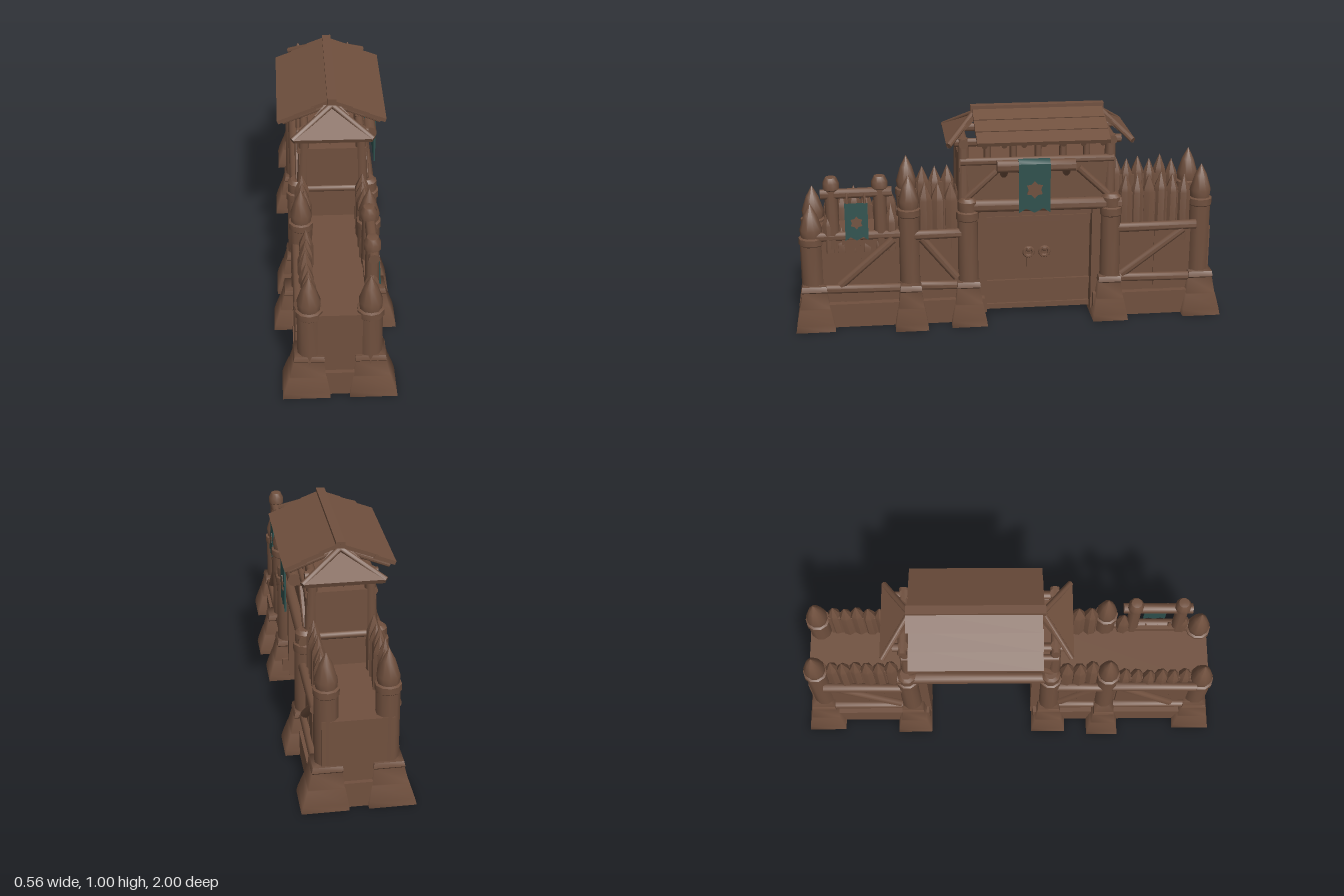
import * as THREE from 'three';
import { toCreasedNormals } from 'three/addons/utils/BufferGeometryUtils.js';
import { ConvexGeometry } from 'three/addons/geometries/ConvexGeometry.js';

const wood = new THREE.MeshStandardMaterial({ color: 0x70503e });
wood.name = 'brown wood';
const cloth = new THREE.MeshStandardMaterial({ color: 0x2e504d });
cloth.name = 'teal cloth';

const V = (x, y, z) => new THREE.Vector3(x, y, z);

export function createModel() {
  const root = new THREE.Group();
  root.name = 'fortifiedGate';

  let seed = 7;
  const jitter = (a) => {
    seed = (seed * 16807) % 2147483647;
    return (seed / 2147483647 - 0.5) * 2 * a;
  };

  const add = (name, geo, mat = wood, crease = 0.75) => {
    const m = new THREE.Mesh(toCreasedNormals(geo, crease), mat);
    m.name = name;
    root.add(m);
    return m;
  };
  // box between two corners
  const box = (name, x0, x1, y0, y1, z0, z1) => {
    const g = new THREE.BoxGeometry(Math.abs(x1 - x0), y1 - y0, Math.abs(z1 - z0));
    g.translate((x0 + x1) / 2, (y0 + y1) / 2, (z0 + z1) / 2);
    return add(name, g);
  };
  // round log between two points
  const log = (name, a, b, r, r2 = r, mat = wood) => {
    const d = b.clone().sub(a);
    const m = add(name, new THREE.CylinderGeometry(r2, r, d.length(), 10), mat);
    m.position.copy(a).add(b).multiplyScalar(0.5);
    m.quaternion.setFromUnitVectors(V(0, 1, 0), d.normalize());
    return m;
  };
  const lathe = (name, pts, sides, x, z, start = 0) => {
    const g = new THREE.LatheGeometry(pts.map((p) => new THREE.Vector2(...p)), sides, start);
    const m = add(name, g);
    m.position.set(x, 0, z);
    return m;
  };
  // flared four-sided footing in stacked courses, leaning in toward the wall
  const footing = (x, z, hw, hd) => {
    const k = Math.SQRT2;
    const m = lathe('footing', [[0, 0], [k, 0], [k * 0.95, 0.03], [k * 0.78, 0.1], [k * 0.75, 0.105],
      [k * 0.63, 0.175], [k * 0.66, 0.18], [k * 0.62, 0.205], [0, 0.205]], 4, x, z, Math.PI / 4);
    m.geometry.applyMatrix4(new THREE.Matrix4().makeShear(0, 0, -Math.sign(x) * 0.07 / hw, 0, 0, 0));
    m.scale.set(hw, 1, hd);
  };
  // round post with collar and a long sharpened head
  const pointedPost = (x, z, top, r) => lathe('pointedPost', [[0, 0.1], [r, 0.1], [r, top - 0.2], [r * 1.1, top - 0.195],
    [r * 1.1, top - 0.165], [r * 0.9, top - 0.16], [r * 0.97, top - 0.125], [r * 0.55, top - 0.055], [0, top]], 10, x, z);
  const stake = (x, z, top, r) => {
    const m = lathe('stake', [[r, 0.36], [r, top - 0.085], [r * 0.85, top - 0.065], [0, top]], 7, x + jitter(0.006), z);
    m.rotation.y = jitter(1);
  };

  // wall cores, one on each side of the gate
  for (const [z0, z1] of [[0.12, 0.955], [-0.955, -0.395]]) {
    box('wallCore', -0.155, 0.155, 0, 0.42, z0, z1);
    box('plinth', -0.197, 0.197, 0, 0.115, z0, z1);
  }
  for (const s of [1, -1]) box('endPlinth', -0.075, 0.075, 0, 0.12, s * 0.9, s * 0.975);

  for (const s of [1, -1]) {
    // corner and intermediate posts
    footing(s * 0.145, 0.91, 0.103, 0.09);
    pointedPost(s * 0.13, 0.915, 0.595, 0.054);
    footing(s * 0.18, 0.465, 0.1, 0.077);
    pointedPost(s * 0.15, 0.465, 0.725, 0.05);
    footing(s * 0.145, -0.91, 0.103, 0.09);
    pointedPost(s * 0.13, -0.905, 0.725, 0.052);

    // gate posts
    for (const [z, fz] of [[0.195, 0.195], [-0.475, -0.47]]) {
      footing(s * 0.165, fz, 0.098, 0.083);
      lathe('gatePost', [[0, 0.1], [0.05, 0.1], [0.048, 0.5], [0.054, 0.505], [0.054, 0.54], [0.045, 0.545],
        [0.045, 0.59], [0.03, 0.605], [0, 0.605]], 10, s * 0.16, z);
    }
    for (const z of [0.135, -0.415]) box('gateJamb', s * 0.03, s * 0.165, 0.03, 0.55, z - 0.028, z + 0.028);

    // side bays: plank skin, rails, diagonal brace, palisade
    const bays = [
      { z0: 0.52, z1: 0.86, top: 0.575, brace: [0.79, 0.2, 0.54, 0.42] },
      { z0: 0.24, z1: 0.42, top: 0.68, brace: [0.41, 0.42, 0.25, 0.22] },
      { z0: -0.85, z1: -0.52, top: 0.685, brace: [-0.53, 0.2, -0.82, 0.42] },
    ];
    bays.forEach((b, i) => {
      const hasStand = i === 0 && s > 0;
      const n = Math.round((b.z1 - b.z0) / 0.085), w = (b.z1 - b.z0) / n;
      for (let k = 0; k < n; k++)
        box('wallPlank', s * 0.14, s * (0.166 + jitter(0.004)), 0.1, 0.43 + jitter(0.01), b.z0 + k * w, b.z0 + (k + 1) * w);
      const rx = s * (hasStand ? 0.15 : 0.172);
      log('upperRail', V(rx, 0.44, b.z0 - 0.03), V(rx, 0.435, b.z1 + 0.03), 0.023);
      log('lowerRail', V(s * 0.173, 0.18, b.z0 - 0.03), V(s * 0.173, 0.185, b.z1 + 0.03), 0.021);
      const [az, ay, bz, by] = b.brace;
      log('diagonalBrace', V(s * 0.17, ay, az), V(s * 0.17, by, bz), 0.02);
      box('palisadeBacking', s * 0.115, s * 0.15, 0.4, hasStand ? 0.45 : b.top - 0.085, b.z0, b.z1);
      const m = Math.round((b.z1 - b.z0) / 0.056), p = (b.z1 - b.z0) / m;
      for (let k = 0; k < m; k++) {
        const z = b.z0 + (k + 0.5) * p;
        const low = hasStand && z > 0.6 && z < 0.82;
        stake(s * 0.135, z, (low ? 0.47 : b.top) + jitter(0.012), p * 0.58);
      }
    });

    // gate header and lintel
    log('lintel', V(s * 0.165, 0.565, 0.22), V(s * 0.165, 0.56, -0.52), 0.03);
    box('gateHeader', s * 0.03, s * 0.14, 0.5, 0.56, -0.42, 0.15);

    // tower sides: timbers, braces and open gallery posts
    log('towerRail', V(s * 0.143, 0.772, 0.225), V(s * 0.143, 0.772, -0.485), 0.018);
    log('towerBrace', V(s * 0.152, 0.6, 0.2), V(s * 0.152, 0.73, 0.06), 0.017);
    log('towerBrace', V(s * 0.152, 0.6, -0.46), V(s * 0.152, 0.73, -0.32), 0.017);
    for (const z of [0.21, -0.47]) log('towerCornerPost', V(s * 0.14, 0.45, z), V(s * 0.125, 0.88, z), 0.03, 0.024);
    for (const z of [0.1, -0.02, -0.135, -0.25, -0.36])
      log('galleryPost', V(s * 0.13, 0.6, z), V(s * 0.125, 0.88, z), 0.017);
    log('wallPlate', V(s * 0.125, 0.86, 0.25), V(s * 0.125, 0.86, -0.52), 0.02);

    // roof slope: three overlapping boards on rafters
    const tilt = Math.atan2(0.1, 0.23);
    for (let k = 0; k < 3; k++) {
      const b = add('roofBoard', new THREE.BoxGeometry(0.1, 0.018, 0.605 + jitter(0.008)));
      b.position.set(s * (0.045 + k * 0.076), 0.966 - k * 0.034, -0.148 + jitter(0.005));
      b.rotation.z = -s * (tilt - 0.04);
    }
    for (let k = 0; k < 7; k++) {
      const z = 0.12 - k * 0.09;
      log('rafter', V(0, 0.955, z), V(s * 0.222, 0.865, z), 0.013);
    }
  }

  // door on the +x side of the passage, with straps and rings
  for (let k = 0; k < 5; k++)
    box('doorPlank', 0.04 + jitter(0.003), 0.107 + jitter(0.002), 0.03, 0.53, -0.4 + k * 0.104, -0.296 + k * 0.104);
  box('doorBottomStrap', 0.1, 0.12, 0.14, 0.17, -0.39, 0.11);
  box('doorTopStrap', 0.1, 0.118, 0.46, 0.49, -0.39, 0.11);
  box('doorSill', 0.04, 0.118, 0.025, 0.05, -0.4, 0.13);
  for (const z of [-0.095, -0.17]) {
    const ring = add('doorRing', new THREE.TorusGeometry(0.022, 0.008, 6, 12));
    ring.position.set(0.118, 0.31, z);
    ring.rotation.y = Math.PI / 2;
    const boss = add('doorBoss', new THREE.SphereGeometry(0.014, 8, 6));
    boss.position.set(0.118, 0.325, z);
  }

  // tower body and gallery ends
  box('towerBody', -0.15, 0.15, 0.54, 0.785, -0.49, 0.23);
  box('towerFrontBase', -0.15, 0.15, 0.4, 0.55, 0.12, 0.23);
  box('towerBackBase', -0.15, 0.15, 0.4, 0.55, -0.49, -0.395);
  for (const [s, apex, foot, post] of [[1, 0.15, 0.29, 0.21], [-1, -0.44, -0.575, -0.475]]) {
    log('towerEndBeam', V(-0.15, 0.57, post + s * 0.012), V(0.15, 0.57, post + s * 0.012), 0.018);
    log('towerEndPlate', V(-0.16, 0.86, post), V(0.16, 0.86, post), 0.022);
    // hanging spikes below the plate
    for (const [x, h] of [[-0.055, 0.055], [-0.01, 0.06], [0.03, 0.055], [0.07, 0.05]]) {
      const c = add('hangingSpike', new THREE.ConeGeometry(0.018, h, 6));
      c.rotation.x = Math.PI;
      c.position.set(x, 0.852 - h / 2, post);
    }
    // sloping end roof with hip logs
    const tri = [V(-0.175, 0.868, foot), V(0.175, 0.868, foot), V(0.035, 0.965, apex), V(-0.035, 0.965, apex)];
    add('endRoof', new ConvexGeometry([...tri, ...tri.map((p) => p.clone().add(V(0, -0.02, -s * 0.008)))]), wood, 0.3);
    for (const x of [-1, 1]) log('hipLog', V(0, 0.965, apex), V(x * 0.18, 0.862, foot - s * 0.01), 0.014);
  }
  const ridge = add('ridgeBeam', new THREE.BoxGeometry(0.04, 0.03, 0.62));
  ridge.position.set(0, 0.986, -0.145);

  // swallow-tailed banner with an emblem; lean swings its foot outward
  const banner = (x, yTop, zc, w, h, lean) => {
    const group = new THREE.Group();
    group.name = 'hangingBanner';
    group.position.set(x, yTop, zc);
    group.rotation.z = lean;
    root.add(group);
    const plate = (name, pts, depth, dx, mat) => {
      const sh = new THREE.Shape(pts.map(([a, b]) => new THREE.Vector2(a, b)));
      const m = add(name, new THREE.ExtrudeGeometry(sh, { depth, bevelEnabled: false }), mat);
      m.rotation.y = Math.PI / 2;
      m.position.x = dx;
      group.add(m);
    };
    const a = w / 2;
    plate('banner', [[-a, 0], [-a, -h], [-a * 0.55, -h * 0.91], [0, -h], [a * 0.55, -h * 0.91], [a, -h], [a, 0]], 0.008, 0, cloth);
    const leaf = [];
    for (let i = 0; i < 12; i++) {
      const r = w * (i % 2 ? 0.2 : 0.29), t = (i / 12) * Math.PI * 2 + Math.PI / 2;
      leaf.push([Math.cos(t) * r, Math.sin(t) * r - h * 0.52]);
    }
    plate('bannerEmblem', leaf, 0.004, 0.007, wood);
  };

  // gate banner wrapped over its pole
  log('bannerPole', V(0.182, 0.757, 0.06), V(0.182, 0.757, -0.3), 0.03);
  for (const z of [0.025, -0.265]) log('poleBracket', V(0.13, 0.7, z), V(0.19, 0.76, z), 0.02);
  log('bannerWrap', V(0.182, 0.757, -0.0375), V(0.182, 0.757, -0.1825), 0.034, 0.034, cloth);
  banner(0.207, 0.772, -0.11, 0.145, 0.232, 0);

  // banner stand above the front wall
  for (const z of [0.595, 0.815]) {
    lathe('standPost', [[0.031, 0.38], [0.03, 0.66], [0.037, 0.665], [0.037, 0.695], [0.025, 0.72], [0, 0.725]], 10, 0.14, z);
  }
  log('standCrossbar', V(0.145, 0.645, 0.54), V(0.145, 0.64, 0.865), 0.024);
  for (const z of [0.665, 0.745]) log('bannerTie', V(0.163, 0.65, z), V(0.17, 0.585, z), 0.006);
  banner(0.167, 0.6, 0.705, 0.105, 0.175, 0.06);

  return root;
}
